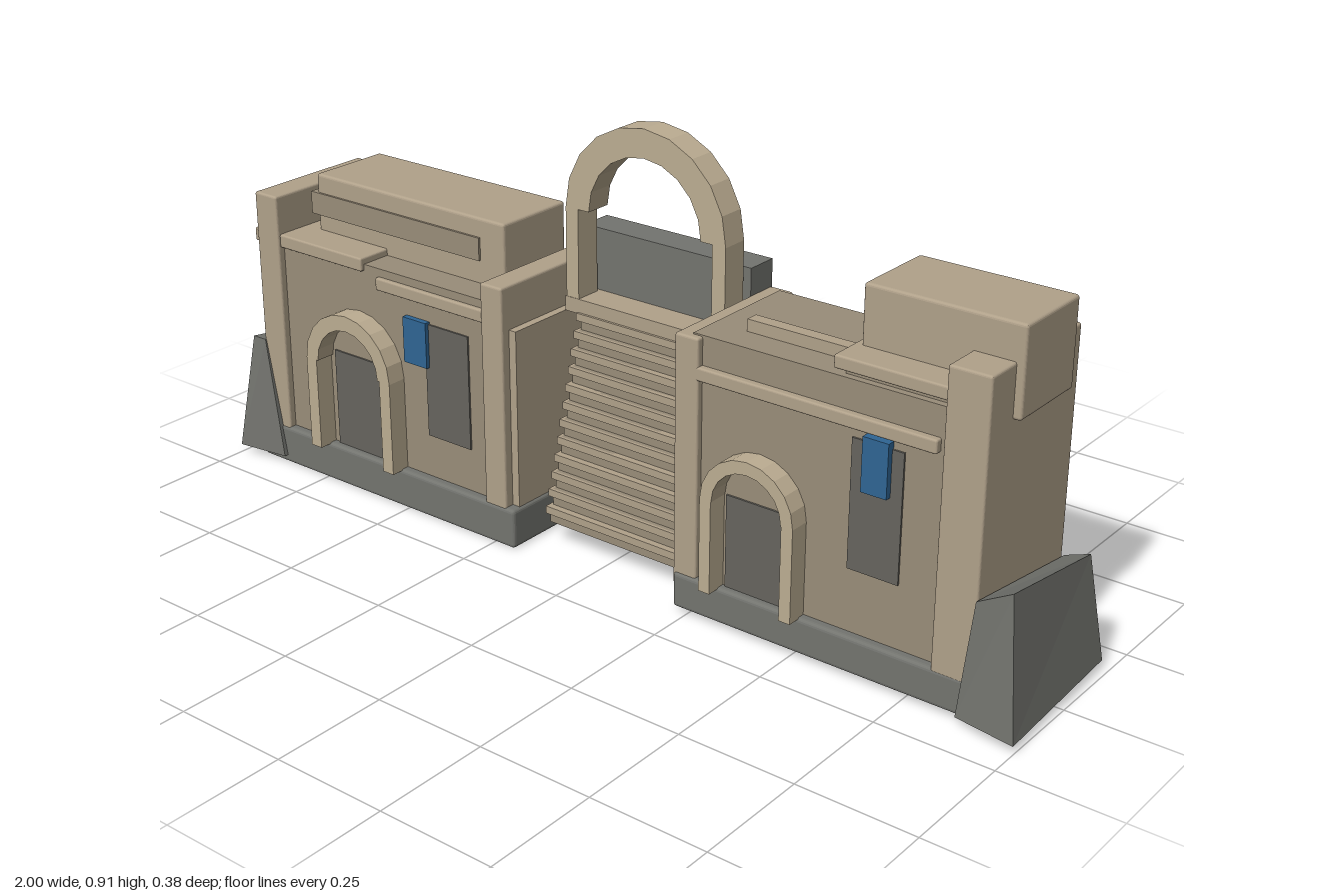
import * as THREE from 'three';
import { RoundedBoxGeometry } from 'three/addons/geometries/RoundedBoxGeometry.js';

const mat = (color) => new THREE.MeshStandardMaterial({ color, flatShading: true });
const SAND = mat(0xb0a18a), WALL = mat(0x998d79), TRIM = mat(0xbcad92);
const STONE = mat(0x73746f), DARK = mat(0x66645e), BLUE = mat(0x2f6593);

function add(parent, name, geometry, material) {
  const mesh = new THREE.Mesh(geometry, material);
  mesh.name = name;
  parent.add(mesh);
  return mesh;
}

// Box given by its limits; a bevel above zero softens the edges
function box(parent, name, material, [x0, x1], [y0, y1], [z0, z1], bevel = 0) {
  const size = [x1 - x0, y1 - y0, z1 - z0];
  const geometry = bevel
    ? new RoundedBoxGeometry(...size, 2, bevel)
    : new THREE.BoxGeometry(...size);
  geometry.translate((x0 + x1) / 2, (y0 + y1) / 2, (z0 + z1) / 2);
  return add(parent, name, geometry, material);
}

// Round arch standing on straight legs
function arch(parent, name, x, bottom, spring, outer, inner, leg, [z0, z1], sides) {
  const s = new THREE.Shape();
  const curve = (r, i) => {
    const a = (i / sides) * Math.PI;
    return [x + r * Math.cos(a), spring + r * Math.sin(a)];
  };
  s.moveTo(x + outer, bottom);
  for (let i = 0; i <= sides; i++) s.lineTo(...curve(outer, i));
  s.lineTo(x - outer, bottom);
  s.lineTo(x - outer + leg, bottom);
  s.lineTo(x - outer + leg, spring);
  for (let i = sides; i >= 0; i--) s.lineTo(...curve(inner, i));
  s.lineTo(x + outer - leg, spring);
  s.lineTo(x + outer - leg, bottom);
  const geometry = new THREE.ExtrudeGeometry(s, { depth: z1 - z0, bevelEnabled: false });
  geometry.translate(0, 0, z0);
  add(parent, name, geometry, TRIM);
}

// Tapered block: move the corners of a unit box to those given by side, height and depth
function buttress(parent, side, corner) {
  const geometry = new THREE.BoxGeometry(1, 1, 1);
  const p = geometry.attributes.position;
  for (let i = 0; i < p.count; i++) {
    const [x, y, z] = corner(p.getX(i) * side > 0, p.getY(i) > 0, p.getZ(i) > 0);
    p.setXYZ(i, x * side, y, z);
  }
  // On the mirrored side the box keeps its winding, since sides are chosen by sign
  geometry.computeVertexNormals();
  add(parent, 'buttress', geometry, STONE);
}

function leftHouse() {
  const g = new THREE.Group();
  g.name = 'leftHouse';
  box(g, 'base', STONE, [-0.95, -0.195], [0, 0.088], [-0.175, 0.155], 0.008);
  box(g, 'walls', WALL, [-0.9, -0.24], [0.06, 0.53], [-0.145, 0.135]);
  box(g, 'outerPillar', SAND, [-0.93, -0.865], [0.07, 0.632], [-0.162, 0.152], 0.005);
  box(g, 'innerPillar', SAND, [-0.275, -0.218], [0.07, 0.575], [-0.162, 0.152], 0.005);
  box(g, 'innerWall', SAND, [-0.235, -0.2], [0.07, 0.48], [-0.155, 0.13]);
  // Roof
  box(g, 'outerRoofSlab', SAND, [-0.945, -0.62], [0.515, 0.545], [-0.166, 0.145], 0.004);
  box(g, 'innerRoofSlab', SAND, [-0.58, -0.27], [0.484, 0.512], [-0.166, 0.145], 0.004);
  box(g, 'roofBlock', SAND, [-0.825, -0.285], [0.52, 0.672], [-0.127, 0.065], 0.006);
  box(g, 'roofPanel', WALL, [-0.84, -0.35], [0.58, 0.63], [-0.1, 0.07]);
  // Front openings
  arch(g, 'doorArch', -0.641, 0.085, 0.295, 0.125, 0.09, 0.03, [0.12, 0.18], 10);
  box(g, 'door', DARK, [-0.72, -0.56], [0.088, 0.31], [0.12, 0.139]);
  box(g, 'window', DARK, [-0.445, -0.325], [0.185, 0.44], [0.12, 0.139]);
  box(g, 'banner', BLUE, [-0.5, -0.435], [0.343, 0.445], [0.12, 0.148]);
  buttress(g, -1, (out, up, front) => up
    ? [out ? 0.962 : 0.925, front ? 0.287 : 0.24, front ? 0.155 : -0.16]
    : [out ? (front ? 1.0 : 0.975) : 0.875, 0.018, front ? (out ? 0.182 : 0.165) : -0.185]);
  return g;
}

function rightHouse() {
  const g = new THREE.Group();
  g.name = 'rightHouse';
  box(g, 'base', STONE, [0.22, 0.92], [0.012, 0.088], [-0.175, 0.155], 0.008);
  box(g, 'walls', WALL, [0.25, 0.85], [0.06, 0.595], [-0.145, 0.135]);
  box(g, 'outerPillar', SAND, [0.805, 0.892], [0.05, 0.683], [-0.162, 0.154], 0.005);
  box(g, 'innerPillar', SAND, [0.217, 0.272], [0.06, 0.592], [-0.162, 0.15], 0.005);
  // Ledge round front and back
  box(g, 'ledge', SAND, [0.245, 0.79], [0.506, 0.534], [-0.166, 0.15], 0.004);
  // Roof
  box(g, 'roofSlab', SAND, [0.565, 0.81], [0.608, 0.635], [-0.14, 0.14], 0.004);
  box(g, 'roofSlabSupport', WALL, [0.58, 0.81], [0.59, 0.61], [-0.13, 0.12]);
  box(g, 'roofBeam', SAND, [0.325, 0.57], [0.59, 0.62], [0.04, 0.068]);
  box(g, 'roofBlock', SAND, [0.58, 0.908], [0.575, 0.755], [-0.114, 0.073], 0.006);
  // Front openings
  arch(g, 'doorArch', 0.409, 0.085, 0.283, 0.107, 0.08, 0.026, [0.12, 0.18], 10);
  box(g, 'door', DARK, [0.335, 0.485], [0.088, 0.285], [0.12, 0.139]);
  box(g, 'window', DARK, [0.61, 0.72], [0.22, 0.485], [0.12, 0.139]);
  box(g, 'banner', BLUE, [0.64, 0.695], [0.39, 0.5], [0.12, 0.152]);
  buttress(g, 1, (out, up, front) => up
    ? [out ? (front ? 0.967 : 0.955) : 0.895, out ? (front ? 0.3 : 0.243) : (front ? 0.26 : 0.215),
      front ? 0.165 : (out ? -0.15 : -0.165)]
    : [out ? (front ? 1.0 : 0.985) : 0.87, 0.018, front ? (out ? 0.19 : 0.17) : (out ? -0.175 : -0.19)]);
  return g;
}

function gateway() {
  const g = new THREE.Group();
  g.name = 'gateway';
  box(g, 'backWall', STONE, [-0.2, 0.22], [0.055, 0.65], [-0.162, -0.09]);
  box(g, 'landing', SAND, [-0.195, 0.21], [0.483, 0.515], [-0.09, -0.02]);
  arch(g, 'gateArch', 0.008, 0.485, 0.708, 0.2, 0.14, 0.032, [-0.081, -0.021], 10);
  // Steep stair, each tread overhanging its riser a little
  const steps = 12, rise = 0.436 / steps;
  for (let i = 0; i < steps; i++) {
    const y = 0.05 + i * rise, z = 0.09 - i * 0.0095;
    box(g, 'riser', WALL, [-0.155, 0.172], [y, y + rise], [-0.09, z - 0.006]);
    box(g, 'tread', SAND, [-0.162, 0.178], [y + rise * 0.55, y + rise], [-0.09, z]);
  }
  return g;
}

export function createModel() {
  const model = new THREE.Group();
  model.name = 'gatehouse';
  model.add(leftHouse(), gateway(), rightHouse());
  return model;
}
